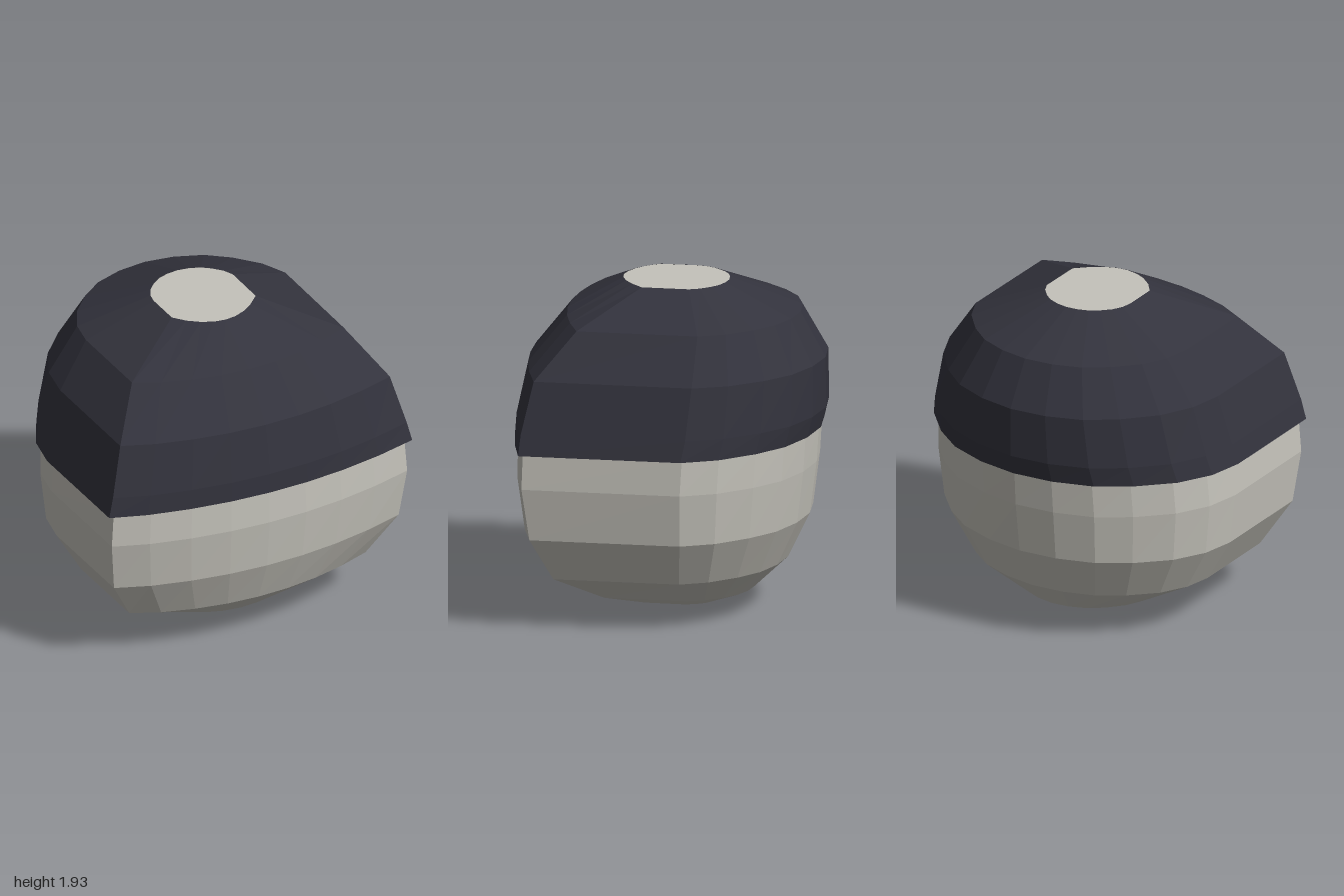
import * as THREE from 'three';

// Unit outline behind the front corners: [x, share of the way from corner to back]
const backOutline = [
  [1, 0], [0.965, 0.6], [0.86, 0.728], [0.68, 0.845], [0.49, 0.929], [0.25, 0.981],
  [0, 1],
  [-0.25, 0.981], [-0.49, 0.929], [-0.68, 0.845], [-0.86, 0.728], [-0.965, 0.6], [-1, 0.464], [-0.967, 0],
];
const frontOutline = [-0.75, -0.5, -0.25, 0, 0.25, 0.5, 0.75];

// One D-shaped section: height, half width, front z, corner z, back z
function section([y, w, front, corner, back]) {
  const points = backOutline.map(([x, f]) => [x * w, y, corner + (back - corner) * f]);
  for (const x of frontOutline) points.push([x * w, y, corner + (front - corner) * (1 - x * x)]);
  return points;
}

// Joins sections from bottom to top, with optional flat ends
function loft(rows, capBottom, capTop) {
  const rings = rows.map(section);
  const n = rings[0].length;
  const positions = [];
  const tri = (a, b, c) => positions.push(...a, ...b, ...c);
  for (let i = 0; i < rings.length - 1; i++) {
    for (let j = 0; j < n; j++) {
      const k = (j + 1) % n;
      const low = rings[i], up = rings[i + 1];
      tri(low[j], low[k], up[k]);
      tri(low[j], up[k], up[j]);
    }
  }
  const cap = (ring, row, flip) => {
    const centre = [0, row[0], (row[2] + row[4]) / 2];
    for (let j = 0; j < n; j++) {
      const k = (j + 1) % n;
      if (flip) tri(centre, ring[k], ring[j]);
      else tri(centre, ring[j], ring[k]);
    }
  };
  if (capBottom) cap(rings[0], rows[0], true);
  if (capTop) cap(rings[n ? rings.length - 1 : 0], rows[rows.length - 1], false);
  const geometry = new THREE.BufferGeometry();
  geometry.setAttribute('position', new THREE.Float32BufferAttribute(positions, 3));
  geometry.computeVertexNormals();
  return geometry;
}

export function createModel() {
  const paleGrey = new THREE.MeshStandardMaterial({ color: 0xc4c2ba, flatShading: true });
  const darkSlate = new THREE.MeshStandardMaterial({ color: 0x33333d, flatShading: true, side: THREE.DoubleSide });
  paleGrey.name = 'paleGrey';
  darkSlate.name = 'darkSlate';

  const group = new THREE.Group();
  group.name = 'cappedHead';

  // Pale body, tucked inside the cap and showing again at the crown
  const body = new THREE.Mesh(loft([
    [0, 0.12, 0.32, 0.15, -0.22],
    [0.1, 0.43, 0.51, 0.33, -0.47],
    [0.29, 0.78, 0.73, 0.56, -0.67],
    [0.56, 0.94, 0.84, 0.67, -0.8],
    [0.87, 0.975, 0.875, 0.71, -0.84],
    [1.08, 0.96, 0.865, 0.705, -0.853],
    [1.5, 0.84, 0.77, 0.61, -0.84],
    [1.74, 0.65, 0.56, 0.4, -0.69],
    [1.935, 0.275, 0.3, 0.14, -0.32],
  ], true, true), paleGrey);
  body.name = 'body';
  group.add(body);

  // Dark cap with a thin rim turned in under its lower edge
  const cap = new THREE.Mesh(loft([
    [1.08, 0.95, 0.855, 0.695, -0.845],
    [1.078, 1, 0.885, 0.725, -0.865],
    [1.2, 0.97, 0.88, 0.715, -0.895],
    [1.5, 0.89, 0.82, 0.655, -0.893],
    [1.765, 0.7, 0.61, 0.44, -0.745],
    [1.935, 0.277, 0.302, 0.14, -0.322],
  ], false, false), darkSlate);
  cap.name = 'cap';
  group.add(cap);

  return group;
}
